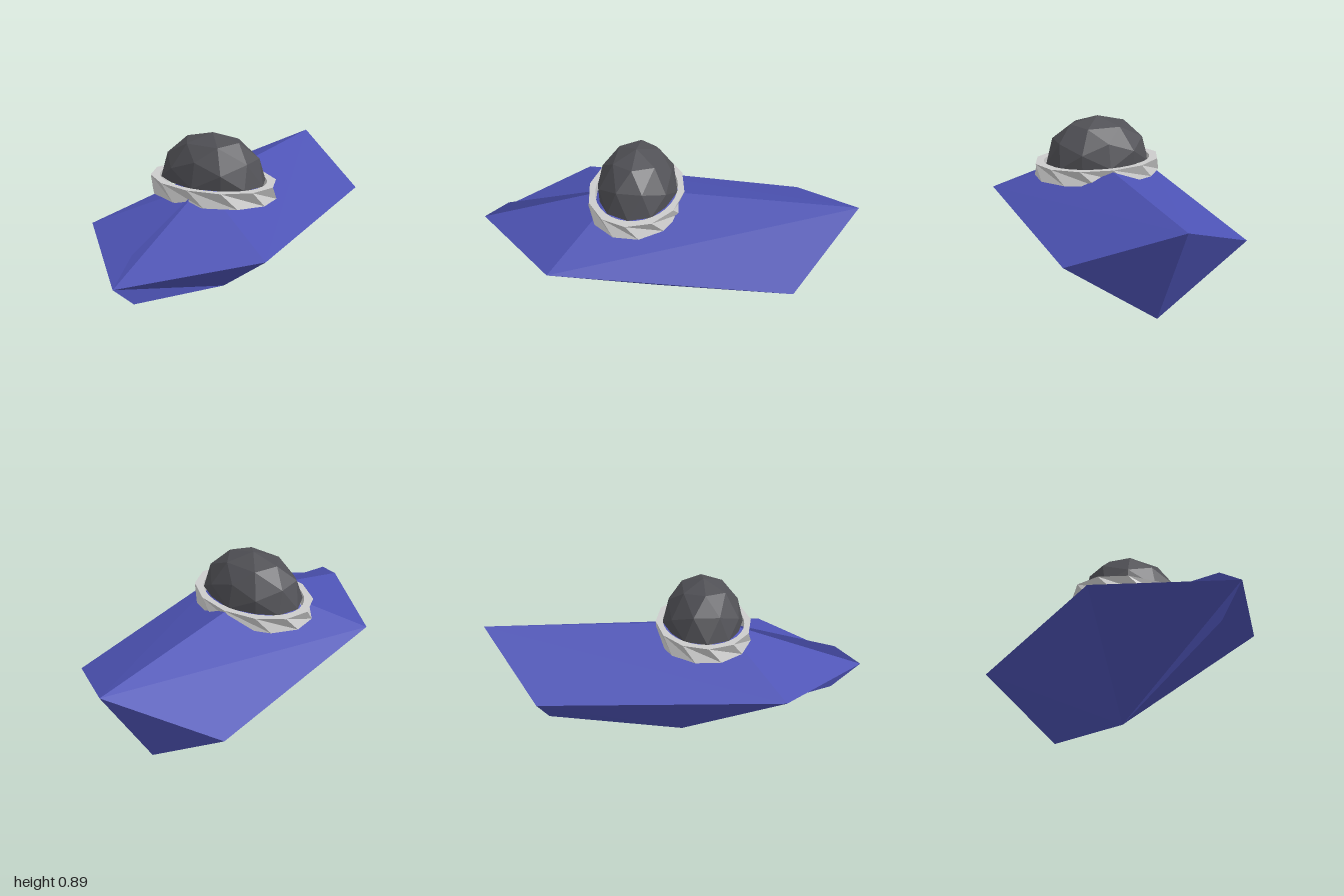
import * as THREE from 'three';
import { ConvexGeometry } from 'three/addons/geometries/ConvexGeometry.js';

const mat = (color, side = THREE.FrontSide) =>
  new THREE.MeshStandardMaterial({ color, flatShading: true, side });

function part(name, geometry, material) {
  const mesh = new THREE.Mesh(geometry, material);
  mesh.name = name;
  return mesh;
}

// Faceted hull: centreline points plus mirrored side corners
function hullGeometry() {
  const points = [[0, 0.38, 1], [0, 0.65, 0.23], [0, 0.65, -1], [0, 0.1, -0.7], [0, 0, 0.03]]
    .map((p) => new THREE.Vector3(...p));
  for (const s of [1, -1]) {
    points.push(new THREE.Vector3(s * 0.5, 0.435, 0.51), new THREE.Vector3(s * 0.46, 0.435, -0.7));
  }
  return new ConvexGeometry(points);
}

// Thin upright bow plate, outlined in (z, y)
function bowFinGeometry() {
  const outline = [[1, 0.38], [0.85, 0.49], [0.23, 0.65], [0.03, 0], [0.85, 0.245]];
  const shape = new THREE.Shape(outline.map(([z, y]) => new THREE.Vector2(z, y)));
  return new THREE.ShapeGeometry(shape).rotateY(-Math.PI / 2);
}

// Twelve-sided collar whose lower rim is turned half a step, giving triangular facets
function collarGeometry() {
  const sides = 12;
  const circle = (n, r) => Array.from({ length: n }, (_, i) =>
    new THREE.Vector2(r * Math.cos((i / n) * 2 * Math.PI), r * Math.sin((i / n) * 2 * Math.PI)));
  const shape = new THREE.Shape(circle(sides, 1));
  shape.holes.push(new THREE.Path(circle(32, 0.85)));
  const geo = new THREE.ExtrudeGeometry(shape, { depth: 1, bevelEnabled: false });
  const pos = geo.attributes.position;
  const v = new THREE.Vector3();
  const axis = new THREE.Vector3(0, 0, 1);
  for (let i = 0; i < pos.count; i++) {
    v.fromBufferAttribute(pos, i);
    if (v.z < 0.5 && Math.hypot(v.x, v.y) > 0.95) v.applyAxisAngle(axis, Math.PI / sides);
    pos.setXYZ(i, v.x, v.y, v.z);
  }
  geo.rotateX(-Math.PI / 2).scale(0.345, 0.08, 0.25);
  geo.computeVertexNormals();
  return geo;
}

// Upper half of a coarse faceted ball, closed flat underneath
function domeGeometry() {
  const geo = new THREE.IcosahedronGeometry(1, 1);
  const pos = geo.attributes.position;
  for (let i = 0; i < pos.count; i++) pos.setY(i, Math.max(0, pos.getY(i)));
  geo.scale(0.287, 0.24, 0.211);
  geo.computeVertexNormals();
  return geo;
}

export function createModel() {
  const model = new THREE.Group();
  model.name = 'craft';
  const blue = 0x4d53b5;

  const hull = part('hull', hullGeometry(), mat(blue));
  const bowFin = part('bowFin', bowFinGeometry(), mat(blue, THREE.DoubleSide));
  const collar = part('canopyCollar', collarGeometry(), mat(0xcccccc));
  collar.position.set(0, 0.58, 0.14);
  const dome = part('canopyDome', domeGeometry(), mat(0x505055));
  dome.position.set(0, 0.655, 0.137);

  model.add(hull, bowFin, collar, dome);
  return model;
}
